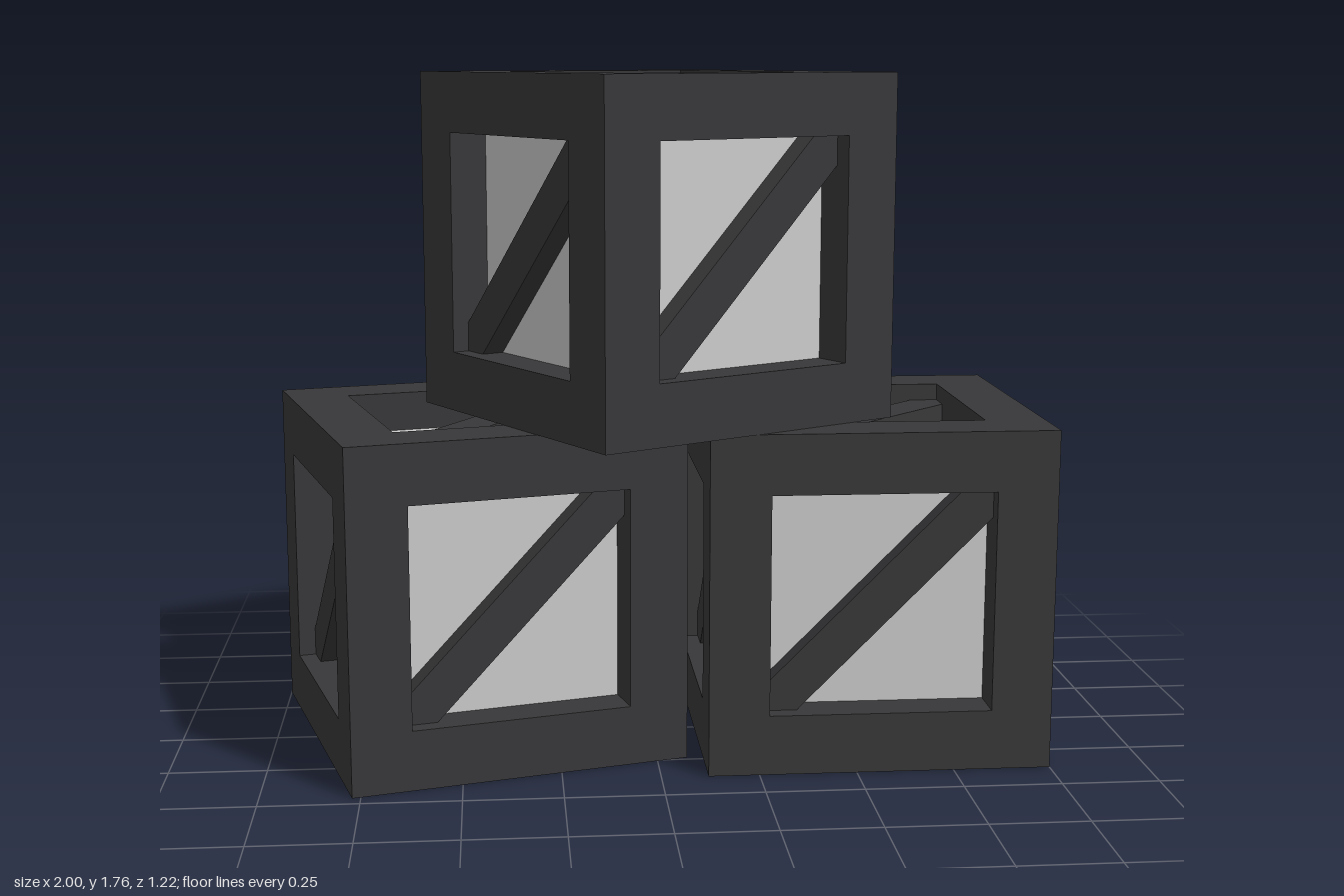
import * as THREE from 'three';

const SIZE = 0.88;               // crate edge
const BEAM = 0.155;              // frame beam width
const OPEN = SIZE - 2 * BEAM;    // window between beams
const PANEL_DEPTH = 0.105;       // panel recess
const BRACE_DEPTH = 0.045;       // brace recess
const BRACE_CUT = 0.075;         // brace half width measured along the window edge

const frameMat = new THREE.MeshStandardMaterial({ color: 0x38383a });
const panelMat = new THREE.MeshStandardMaterial({ color: 0xcccccc });

function add(parent, name, geometry, material, x = 0, y = 0, z = 0) {
  const mesh = new THREE.Mesh(geometry, material);
  mesh.name = name;
  mesh.position.set(x, y, z);
  parent.add(mesh);
  return mesh;
}

// Diagonal brace, trimmed to the corners of the window
function braceGeometry() {
  const h = OPEN / 2, c = BRACE_CUT;
  const outline = [[-h, -h], [-h + c, -h], [h, h - c], [h, h], [h - c, h], [-h, -h + c]];
  const shape = new THREE.Shape(outline.map(([x, y]) => new THREE.Vector2(x, y)));
  const geometry = new THREE.ExtrudeGeometry(shape, { depth: PANEL_DEPTH - BRACE_DEPTH, bevelEnabled: false });
  return geometry.translate(0, 0, SIZE / 2 - PANEL_DEPTH);
}

function createCrate(name) {
  const crate = new THREE.Group();
  crate.name = name;
  const e = (SIZE - BEAM) / 2;

  // Frame: four posts with rails between them
  const post = new THREE.BoxGeometry(BEAM, SIZE, BEAM);
  const railX = new THREE.BoxGeometry(OPEN, BEAM, BEAM);
  const railZ = new THREE.BoxGeometry(BEAM, BEAM, OPEN);
  for (const a of [-e, e]) {
    for (const b of [-e, e]) {
      add(crate, 'post', post, frameMat, a, 0, b);
      add(crate, 'crossRail', railX, frameMat, 0, a, b);
      add(crate, 'sideRail', railZ, frameMat, a, b, 0);
    }
  }

  // Recessed panels on all six sides
  const core = SIZE - 2 * PANEL_DEPTH;
  add(crate, 'panels', new THREE.BoxGeometry(core, core, core), panelMat);

  // One brace per face
  const brace = braceGeometry();
  const q = Math.PI / 2;
  for (const [rx, ry] of [[0, 0], [0, q], [0, 2 * q], [0, -q], [q, 0], [-q, 0]]) {
    add(crate, 'brace', brace, frameMat).rotation.set(rx, ry, 0);
  }
  return crate;
}

export function createModel() {
  const model = new THREE.Group();
  model.name = 'crateStack';
  // name, x, level, z, turn in degrees
  const layout = [
    ['leftCrate', 0.56, 0, -0.06, 0],
    ['rightCrate', -0.46, 0, -0.075, 15],
    ['topCrate', 0.01, 1, 0.005, 30],
  ];
  for (const [name, x, level, z, turn] of layout) {
    const crate = createCrate(name);
    crate.position.set(x, SIZE * (level + 0.5), z);
    crate.rotation.y = THREE.MathUtils.degToRad(turn);
    model.add(crate);
  }
  return model;
}
